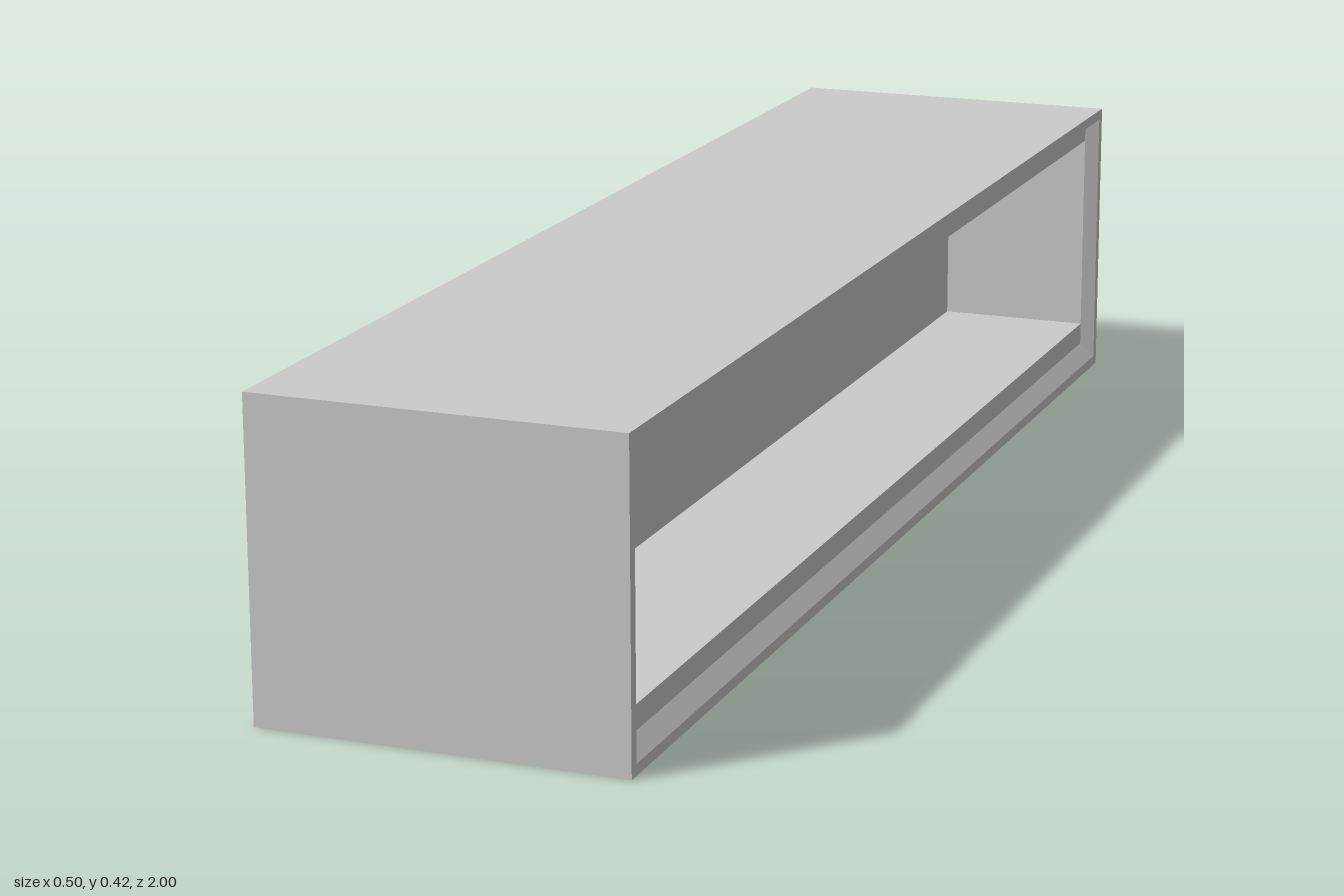
import * as THREE from 'three';

const W = 0.248, H = 0.423, L = 1; // half width, height, half length
const RIM = 0.015, BEVEL = 0.02, END = 0.025;

const material = new THREE.MeshStandardMaterial({ color: 0xcccccc, flatShading: true });

function add(group, name, geometry) {
  const mesh = new THREE.Mesh(geometry, material);
  mesh.name = name;
  group.add(mesh);
  return mesh;
}

// Extrudes a closed outline of [x, y] points, centred along its depth
function prism(points, depth) {
  const shape = new THREE.Shape(points.map(([x, y]) => new THREE.Vector2(x, y)));
  return new THREE.ExtrudeGeometry(shape, { depth, bevelEnabled: false })
    .translate(0, 0, -depth / 2);
}

// Board outline: bevelled rim on the +x side, then a step up to the inner
// surface; the -x half is thinner.
function boardOutline(bevelTop, inner, outer) {
  return [
    [-W, 0], [W, 0], [W, RIM], [W - BEVEL, bevelTop],
    [W - BEVEL, inner], [-0.01, inner], [-0.01, outer], [-W, outer],
  ];
}

export function createModel() {
  const group = new THREE.Group();
  group.name = 'openShelfBox';

  // Floor board
  add(group, 'floor', prism(boardOutline(0.037, 0.07, 0.033), 2 * L));

  // Top board, the same kind of outline turned upside down
  const top = boardOutline(0.029, 0.049, 0.033).map(([x, y]) => [x, H - y]).reverse();
  add(group, 'top', prism(top, 2 * L));

  // End walls, bevelled along the +x edge
  const end = [[-W, 0], [W, 0], [W, RIM], [W - BEVEL, END], [-W, END]];
  for (const side of [1, -1]) {
    const outline = end.map(([x, d]) => [x, side * (d - L)]);
    if (side < 0) outline.reverse();
    const wall = prism(outline, H - 0.002);
    wall.rotateX(-Math.PI / 2).translate(0, H / 2, 0);
    add(group, side > 0 ? 'frontEndWall' : 'backEndWall', wall);
  }

  // Middle partition between the two open sides
  add(group, 'partition',
    new THREE.BoxGeometry(0.012, H - 0.04, 2 * L - 0.04).translate(-0.006, H / 2, 0));

  // Low strip along the foot of the partition
  add(group, 'footStrip',
    new THREE.BoxGeometry(0.006, 0.016, 2 * L - 0.04).translate(-0.012, 0.04, 0));

  return group;
}
